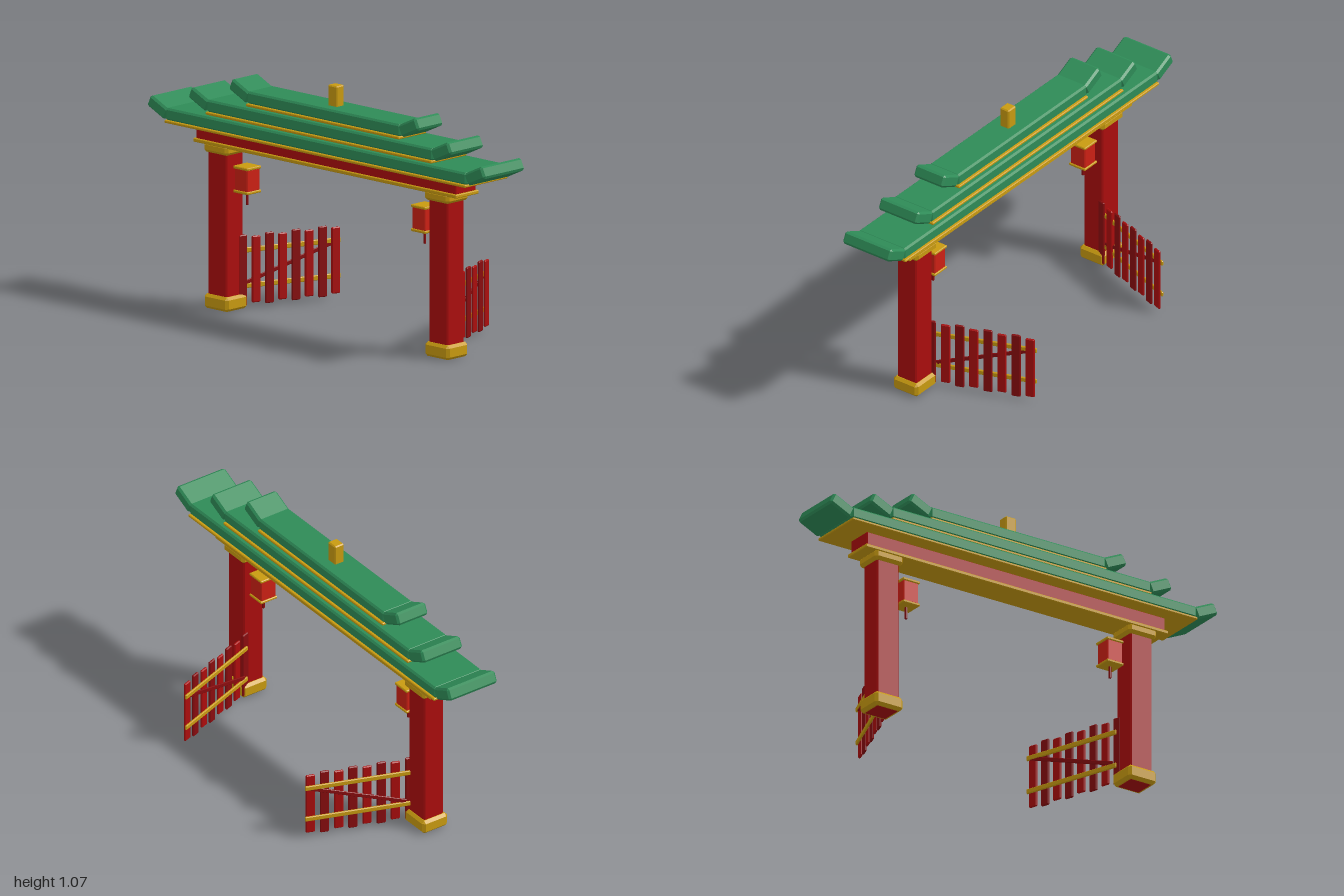
import * as THREE from 'three';
import { ConvexGeometry } from 'three/addons/geometries/ConvexGeometry.js';

const mat = (name, color) => {
  const m = new THREE.MeshStandardMaterial({ color });
  m.name = name;
  return m;
};

// Box with every edge cut by a flat chamfer c
function chamferBox(w, h, d, c) {
  const half = [w / 2, h / 2, d / 2], pts = [];
  for (const sx of [-1, 1]) for (const sy of [-1, 1]) for (const sz of [-1, 1])
    for (let full = 0; full < 3; full++) {
      const v = half.map((e, i) => (i === full ? e : e - c));
      pts.push(new THREE.Vector3(sx * v[0], sy * v[1], sz * v[2]));
    }
  return new ConvexGeometry(pts);
}

export function createModel() {
  const red = mat('pillarRed', 0xaa0d0d);
  const darkRed = mat('darkRed', 0x880c0e);
  const lanternRed = mat('lanternRed', 0xcc2014);
  const gold = mat('gold', 0xc89a10);
  const green = mat('roofGreen', 0x2e8b57);

  const model = new THREE.Group();
  model.name = 'gateway';
  const Z = 0.178; // depth line of the arch

  function block(parent, name, material, size, pos, c = 0.004) {
    const mesh = new THREE.Mesh(chamferBox(...size, c), material);
    mesh.name = name;
    mesh.position.set(...pos);
    parent.add(mesh);
    return mesh;
  }

  // Pillars with base and capital
  for (const s of [-1, 1]) {
    block(model, 'pillar', red, [0.112, 0.69, 0.102], [s * 0.65, 0.345, Z], 0.006);
    block(model, 'pillarBase', gold, [0.142, 0.063, 0.13], [s * 0.65, 0.0335, Z], 0.012);
    block(model, 'capital', gold, [0.144, 0.045, 0.134], [s * 0.65, 0.7025, Z], 0.012);
  }

  // Crossbeam
  block(model, 'beamTrim', gold, [1.55, 0.016, 0.14], [0, 0.723, Z], 0.003);
  block(model, 'beam', red, [1.53, 0.064, 0.122], [0, 0.76, Z], 0.004);

  // Three roof tiers with upturned ends
  const tilt = THREE.MathUtils.degToRad(25), wingLength = 0.115;
  [[0.885, 0.8, 0.25], [0.665, 0.867, 0.205], [0.45, 0.933, 0.156]].forEach(([half, y, depth]) => {
    const tier = new THREE.Group();
    tier.name = 'roofTier';
    model.add(tier);
    block(tier, 'eaveTrim', gold, [half * 2, 0.012, depth + 0.012], [0, y - 0.005, Z], 0.003);
    block(tier, 'roofSlab', green, [half * 2, 0.053, depth], [0, y + 0.0265, Z], 0.008);
    for (const s of [-1, 1]) {
      const x = half + 0.1 - Math.cos(tilt) * wingLength / 2;
      const wy = y + 0.071 - Math.sin(tilt) * wingLength / 2;
      const wing = block(tier, 'upturnedEave', green, [wingLength, 0.055, depth], [s * x, wy, Z], 0.009);
      wing.rotation.z = s * tilt;
    }
  });
  block(model, 'finial', gold, [0.054, 0.095, 0.048], [0, 1.027, Z], 0.005);

  // Lanterns
  for (const s of [-1, 1]) {
    const lantern = new THREE.Group();
    lantern.name = 'lantern';
    lantern.position.set(s * 0.523, 0, Z);
    model.add(lantern);
    block(lantern, 'lanternBody', lanternRed, [0.077, 0.098, 0.077], [0, 0.582, 0], 0.004);
    for (const y of [0.53, 0.634]) block(lantern, 'lanternCap', gold, [0.086, 0.012, 0.086], [0, y, 0], 0.003);
    block(lantern, 'tassel', darkRed, [0.01, 0.056, 0.01], [0, 0.497, 0], 0.002);
  }

  // Open picket gates: slats on one face, rails and brace on the other
  for (const s of [-1, 1]) {
    const gate = new THREE.Group();
    gate.name = 'picketGate';
    gate.position.set(s * 0.59, 0, 0.125);
    gate.rotation.y = THREE.MathUtils.degToRad(90 + s * 20);
    model.add(gate);
    for (let i = 0; i < 8; i++) {
      const tall = i % 2 === 0;
      block(gate, 'slat', tall ? darkRed : red, [0.04, tall ? 0.307 : 0.288, 0.012],
        [-0.008 + i * 0.0624, 0.167, 0], 0.004);
    }
    for (const y of [0.097, 0.251]) block(gate, 'rail', gold, [0.465, 0.022, 0.01], [0.2225, y, -0.01], 0.003);
    const brace = block(gate, 'brace', darkRed, [0.452, 0.018, 0.007], [0.225, 0.18, -0.009], 0.002);
    brace.rotation.z = Math.atan2(0.14, 0.43);
  }

  return model;
}
